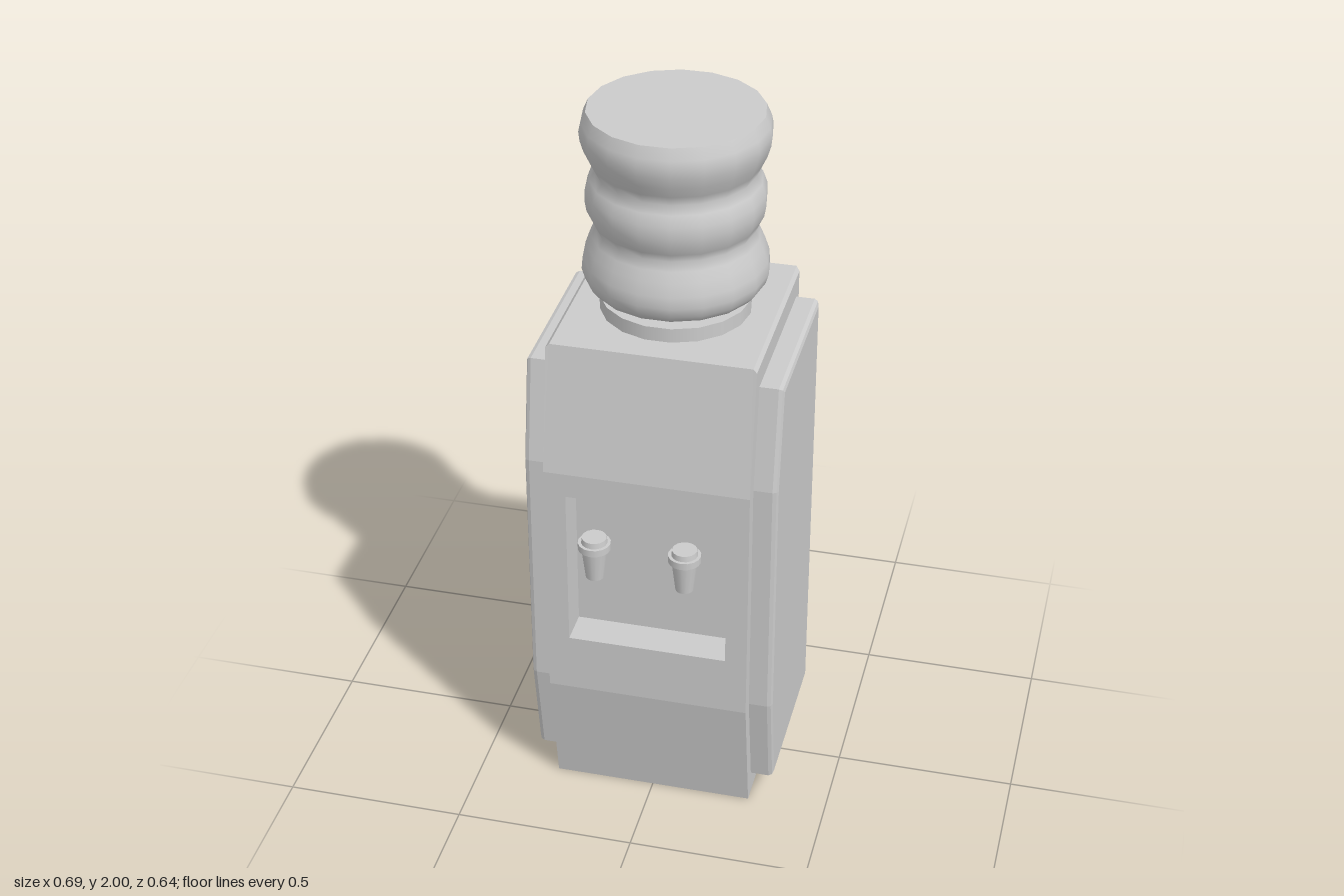
import * as THREE from 'three';

const grey = new THREE.MeshStandardMaterial({ color: 0xcccccc });
const flat = new THREE.MeshStandardMaterial({ color: 0xcccccc, flatShading: true });

function add(parent, name, geometry, material = grey) {
  const mesh = new THREE.Mesh(geometry, material);
  mesh.name = name;
  parent.add(mesh);
  return mesh;
}

// Geometry from quads whose corners run counter-clockwise seen from outside
function quads(list) {
  const pos = [];
  for (const [a, b, c, d] of list) pos.push(...a, ...b, ...c, ...a, ...c, ...d);
  const g = new THREE.BufferGeometry();
  g.setAttribute('position', new THREE.Float32BufferAttribute(pos, 3));
  g.computeVertexNormals();
  return g;
}

const W = 0.28, FRONT = 0.3;
const hole = { x: 0.22, y0: 0.53, y1: 1.0, back: 0.2 };

// Cabinet: bowed side profile, slim chamfers at the top and back side edges
function cabinet() {
  const group = new THREE.Group();
  group.name = 'cabinet';
  // rings of [x, y, z], counter-clockwise seen from +x
  const cap = [[W, 0, 0.24], [W, 0, -0.31], [W, 1.42, -0.31], [W, 1.42, 0.242], [W, 1.07, FRONT], [W, 0.36, FRONT]];
  const rim = [[W, 0, 0.24], [W - 0.01, 0, -0.32], [W - 0.01, 1.43, -0.32], [W - 0.01, 1.43, 0.24], [W, 1.07, FRONT], [W, 0.36, FRONT]];
  const mir = ([x, y, z]) => [-x, y, z];
  const list = [];
  for (let i = 0; i < 6; i++) {
    const j = (i + 1) % 6;
    if (i !== 4) list.push([rim[i], mir(rim[i]), mir(rim[j]), rim[j]]);
    if (i > 0 && i < 4) {
      list.push([cap[i], rim[i], rim[j], cap[j]]);
      list.push([mir(cap[j]), mir(rim[j]), mir(rim[i]), mir(cap[i])]);
    }
  }
  // thin chamfer closing at the bottom back corner
  list.push([cap[0], rim[1], cap[1], cap[1]], [mir(cap[1]), mir(cap[1]), mir(rim[1]), mir(cap[0])]);
  for (const [a, b, c, d] of [[0, 1, 2, 3], [0, 3, 4, 5]]) {
    list.push([cap[a], cap[b], cap[c], cap[d]]);
    list.push([cap[d], cap[c], cap[b], cap[a]].map(mir));
  }
  add(group, 'cabinetShell', quads(list), flat);

  // Middle front face with the dispensing opening
  const face = new THREE.Shape([[-W, 0.36], [W, 0.36], [W, 1.07], [-W, 1.07]].map(p => new THREE.Vector2(...p)));
  const { x, y0, y1, back } = hole;
  const opening = [[-x, y0], [-x, y1], [x, y1], [x, y0]];
  face.holes.push(new THREE.Path(opening.map(p => new THREE.Vector2(...p))));
  add(group, 'frontPanel', new THREE.ShapeGeometry(face).translate(0, 0, FRONT));

  // Recess walls and back
  const walls = opening.map((p, i) => {
    const q = opening[(i + 1) % 4];
    return [[...p, FRONT], [...p, back], [...q, back], [...q, FRONT]];
  });
  walls.push([[-x, y0, back], [x, y0, back], [x, y1, back], [-x, y1, back]]);
  add(group, 'dispenserRecess', quads(walls), new THREE.MeshStandardMaterial({ color: 0xcccccc, flatShading: true, side: THREE.DoubleSide }));
  return group;
}

// Raised panel on each side, following the bowed profile
function sidePanel(side) {
  const b = 0.014;
  const pts = [[0.275 - b, 0.07 + b], [0.275 - b, 1.36 - b], [-0.21 + b, 1.36 - b],
    [-0.257 + b, 1.07], [-0.257 + b, 0.36], [-0.21 + b, 0.07 + b]];
  const shape = new THREE.Shape(pts.map(p => new THREE.Vector2(...p)));
  const depth = 0.085 - 2 * b;
  const g = new THREE.ExtrudeGeometry(shape, { depth, bevelSize: b, bevelThickness: b, bevelSegments: 2 });
  g.translate(0, 0, -depth / 2).rotateY(Math.PI / 2).translate(side * 0.3025, 0, 0);
  return g;
}

// Tap: tapered spout, collar, button and a stem to the recess wall
function tap(x) {
  const group = new THREE.Group();
  group.name = 'tap';
  const z = 0.274;
  const cyl = (name, rTop, rBottom, y0, y1) =>
    add(group, name, new THREE.CylinderGeometry(rTop, rBottom, y1 - y0, 16).translate(0, (y0 + y1) / 2, z));
  cyl('tapSpout', 0.036, 0.025, 0.735, 0.83);
  cyl('tapCollar', 0.045, 0.045, 0.828, 0.848);
  cyl('tapButton', 0.034, 0.036, 0.848, 0.864);
  const length = z - hole.back;
  add(group, 'tapStem', new THREE.CylinderGeometry(0.02, 0.02, length, 12)
    .rotateX(Math.PI / 2).translate(0, 0.805, hole.back + length / 2));
  group.position.x = x;
  return group;
}

// Ribbed water bottle standing on a neck and flange
function bottle() {
  const group = new THREE.Group();
  group.name = 'bottle';
  const profile = [[0.205, 1.5], [0.225, 1.505], [0.241, 1.525], [0.249, 1.553], [0.246, 1.585], [0.234, 1.62],
    [0.222, 1.648], [0.211, 1.672], [0.221, 1.695], [0.233, 1.72], [0.238, 1.75], [0.237, 1.78],
    [0.226, 1.81], [0.211, 1.832], [0.224, 1.86], [0.238, 1.89], [0.247, 1.92], [0.25, 1.947],
    [0.245, 1.97], [0.232, 2]].map(p => new THREE.Vector2(...p));
  const sides = 18, turn = Math.PI / 2;
  add(group, 'bottleBody', new THREE.LatheGeometry(profile, sides).rotateY(turn));
  add(group, 'bottleTop', new THREE.CircleGeometry(0.232, sides).rotateX(-turn).translate(0, 2, 0));
  add(group, 'bottleUnderside', new THREE.CircleGeometry(0.205, sides).rotateX(turn).translate(0, 1.5, 0));
  add(group, 'bottleNeck', new THREE.CylinderGeometry(0.16, 0.16, 0.04, sides).rotateY(turn).translate(0, 1.485, 0));
  add(group, 'bottleFlange', new THREE.CylinderGeometry(0.203, 0.203, 0.042, sides).rotateY(turn).translate(0, 1.449, 0));
  group.position.z = -0.04;
  return group;
}

export function createModel() {
  const model = new THREE.Group();
  model.name = 'waterDispenser';
  model.add(cabinet());
  add(model, 'leftSidePanel', sidePanel(1));
  add(model, 'rightSidePanel', sidePanel(-1));
  for (const x of [-0.15, 0.1]) model.add(tap(x));
  model.add(bottle());
  return model;
}
